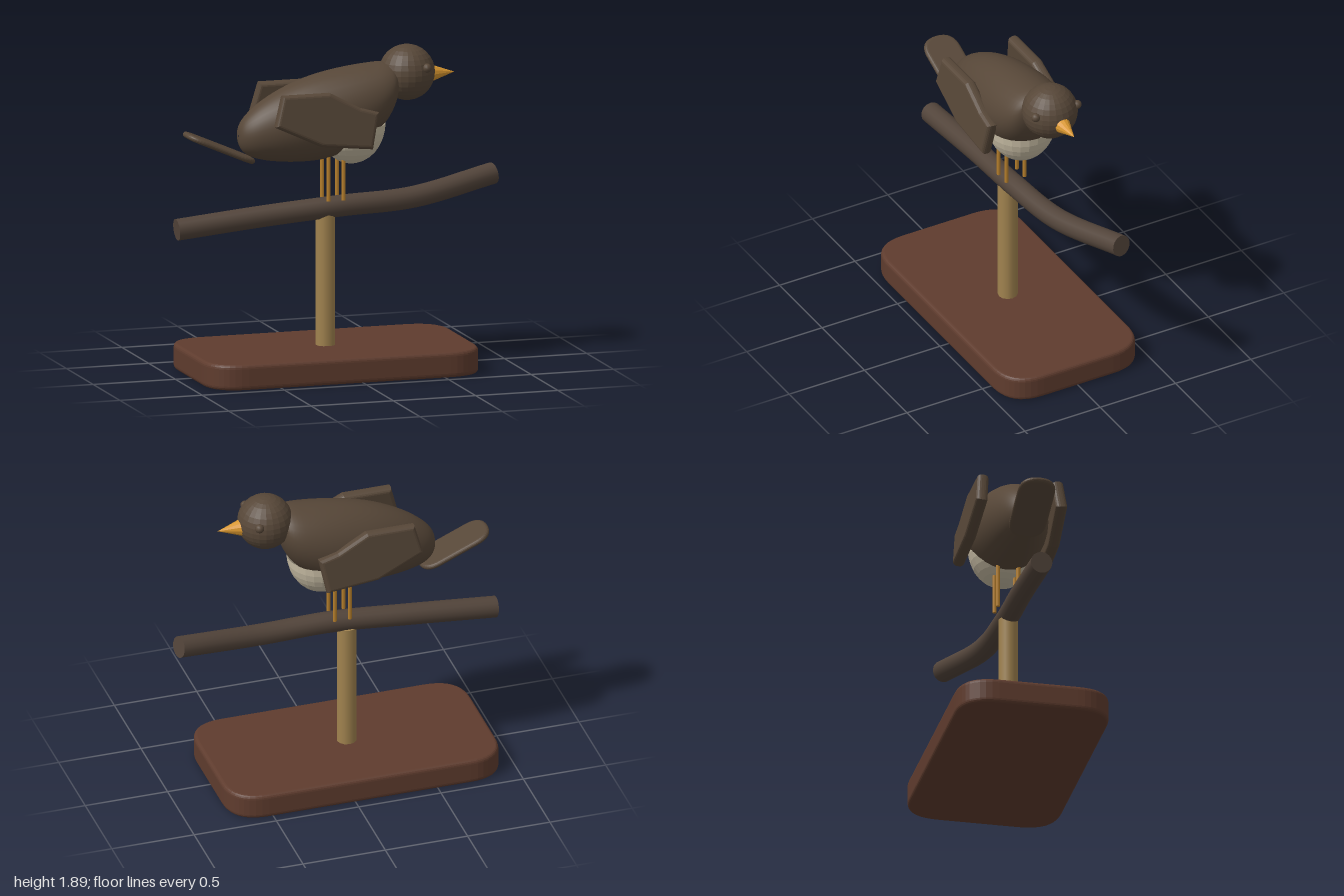
import * as THREE from 'three';

const mat = (name, color, extra = {}) => {
  const m = new THREE.MeshStandardMaterial({ color, ...extra });
  m.name = name;
  return m;
};

// Rectangle outline with softly curved corners
function softRect(halfW, halfH, r) {
  const s = new THREE.Shape();
  s.moveTo(-halfW + r, -halfH);
  s.lineTo(halfW - r, -halfH);
  s.quadraticCurveTo(halfW, -halfH, halfW, -halfH + r);
  s.lineTo(halfW, halfH - r);
  s.quadraticCurveTo(halfW, halfH, halfW - r, halfH);
  s.lineTo(-halfW + r, halfH);
  s.quadraticCurveTo(-halfW, halfH, -halfW, halfH - r);
  s.lineTo(-halfW, -halfH + r);
  s.quadraticCurveTo(-halfW, -halfH, -halfW + r, -halfH);
  return s;
}

// Bevelled plate of total thickness t, centred on its own z
function plate(shape, t, bevel, inset) {
  const g = new THREE.ExtrudeGeometry(shape, {
    depth: t - 2 * bevel, bevelThickness: bevel, bevelSize: inset, bevelOffset: -inset,
    bevelSegments: 4, curveSegments: 10,
  });
  return g.translate(0, 0, -(t - 2 * bevel) / 2);
}

// Smooth body from elliptical sections [x, top, bottom, half width]
function loft(sections, sides) {
  const curves = [1, 2, 3].map((k) => new THREE.CatmullRomCurve3(
    sections.map((s) => new THREE.Vector3(s[0], s[k], 0))));
  const rings = 36, pos = [], idx = [];
  for (let i = 0; i <= rings; i++) {
    const [top, bottom, width] = curves.map((c) => c.getPoint(i / rings));
    const cy = (top.y + bottom.y) / 2, h = (top.y - bottom.y) / 2;
    for (let j = 0; j < sides; j++) {
      const a = (j / sides) * Math.PI * 2;
      pos.push(top.x, cy + h * Math.cos(a), width.y * Math.sin(a));
    }
  }
  for (let i = 0; i < rings; i++) {
    for (let j = 0; j < sides; j++) {
      const a = i * sides + j, b = i * sides + (j + 1) % sides;
      idx.push(a, b, a + sides, b, b + sides, a + sides);
    }
  }
  const g = new THREE.BufferGeometry();
  g.setAttribute('position', new THREE.Float32BufferAttribute(pos, 3));
  g.setIndex(idx);
  g.computeVertexNormals();
  return g;
}

export function createModel() {
  const model = new THREE.Group();
  const plumage = mat('brown plumage', 0x574738);
  const facetedPlumage = mat('brown plumage faceted', 0x574738, { flatShading: true });
  const cream = mat('cream belly', 0xc6bba3, { flatShading: true, side: THREE.DoubleSide });
  const orange = mat('orange beak', 0xd8962f, { flatShading: true });
  const legColor = mat('ochre legs', 0xb67f2c);
  const bark = mat('bark', 0x52443a);
  const wood = mat('pale wood', 0xa1834f);
  const baseWood = mat('red brown wood', 0x5f3c2e);

  const add = (name, geometry, material, x = 0, y = 0, z = 0, parent = model) => {
    const m = new THREE.Mesh(geometry, material);
    m.name = name;
    m.position.set(x, y, z);
    parent.add(m);
    return m;
  };

  // Stand
  add('base', plate(softRect(0.833, 0.452, 0.22), 0.15, 0.025, 0.02).rotateX(-Math.PI / 2),
    baseWood, -0.085, 0.075, 0);
  add('post', new THREE.CylinderGeometry(0.058, 0.058, 0.78, 12), wood, -0.088, 0.53, 0);

  // Perch with closed ends
  const path = new THREE.CatmullRomCurve3([
    [-0.992, 0.88, 0], [-0.45, 0.93, 0], [0, 0.963, 0.005], [0.45, 0.98, -0.03], [0.98, 1.067, -0.152],
  ].map((p) => new THREE.Vector3(...p)));
  const branch = new THREE.Group();
  branch.name = 'branch';
  model.add(branch);
  add('branchBark', new THREE.TubeGeometry(path, 48, 0.064, 16), bark, 0, 0, 0, branch);
  for (const t of [0, 1]) {
    const p = path.getPoint(t), dir = path.getTangent(t).multiplyScalar(t ? 1 : -1);
    const cap = add('branchEnd', new THREE.CircleGeometry(0.064, 16), bark, p.x, p.y, p.z, branch);
    cap.lookAt(p.clone().add(dir));
  }

  // Bird facing +x
  const bird = new THREE.Group();
  bird.name = 'bird';
  model.add(bird);
  const part = (name, g, m, x, y, z) => add(name, g, m, x, y, z, bird);

  part('body', loft([
    [-0.618, 1.415, 1.405, 0.005], [-0.612, 1.46, 1.36, 0.045], [-0.592, 1.5, 1.32, 0.075],
    [-0.55, 1.545, 1.288, 0.108], [-0.48, 1.6, 1.264, 0.14], [-0.37, 1.663, 1.247, 0.175],
    [-0.24, 1.717, 1.24, 0.203], [-0.1, 1.755, 1.25, 0.22], [0.05, 1.78, 1.295, 0.225],
    [0.18, 1.793, 1.372, 0.211], [0.26, 1.796, 1.448, 0.185], [0.305, 1.785, 1.53, 0.15],
    [0.326, 1.75, 1.6, 0.095], [0.332, 1.69, 1.68, 0.01],
  ], 32), plumage);

  // Lower half dome
  const belly = new THREE.SphereGeometry(0.2, 24, 8, 0, Math.PI * 2, Math.PI / 2, Math.PI / 2);
  part('belly', belly.scale(1, 1.175, 1), cream, 0.068, 1.445, 0);

  part('head', new THREE.SphereGeometry(0.163, 24, 16), facetedPlumage, 0.407, 1.726, 0);
  part('beak', new THREE.ConeGeometry(0.055, 0.155, 12).rotateZ(-Math.PI / 2), orange, 0.618, 1.71, 0);

  // Tail plate sloping up and back
  const tail = part('tail', plate(softRect(0.228, 0.11, 0.11), 0.034, 0.016, 0.02)
    .rotateX(-Math.PI / 2), plumage, -0.735, 1.348, 0);
  tail.rotation.z = -0.41;

  // Wing outline about its own centre
  const wingShape = new THREE.Shape([
    [-0.473, 1.495], [-0.195, 1.366], [0.115, 1.334], [0.158, 1.548],
    [0.045, 1.58], [-0.136, 1.677], [-0.425, 1.677],
  ].map(([x, y]) => new THREE.Vector2(x, y - 1.505)));

  for (const side of [1, -1]) {
    const wing = part('wing', plate(wingShape, 0.07, 0.028, 0.022), plumage, 0, 1.505, 0.236 * side);
    wing.rotation.x = -0.1 * side;
    part('eye', new THREE.SphereGeometry(0.027, 12, 8), plumage, 0.485, 1.768, 0.137 * side);
    for (const x of [-0.088, 0.003]) {
      part('leg', new THREE.CylinderGeometry(0.012, 0.012, 0.3, 8), legColor, x, 1.155, 0.06 * side);
    }
  }
  return model;
}
